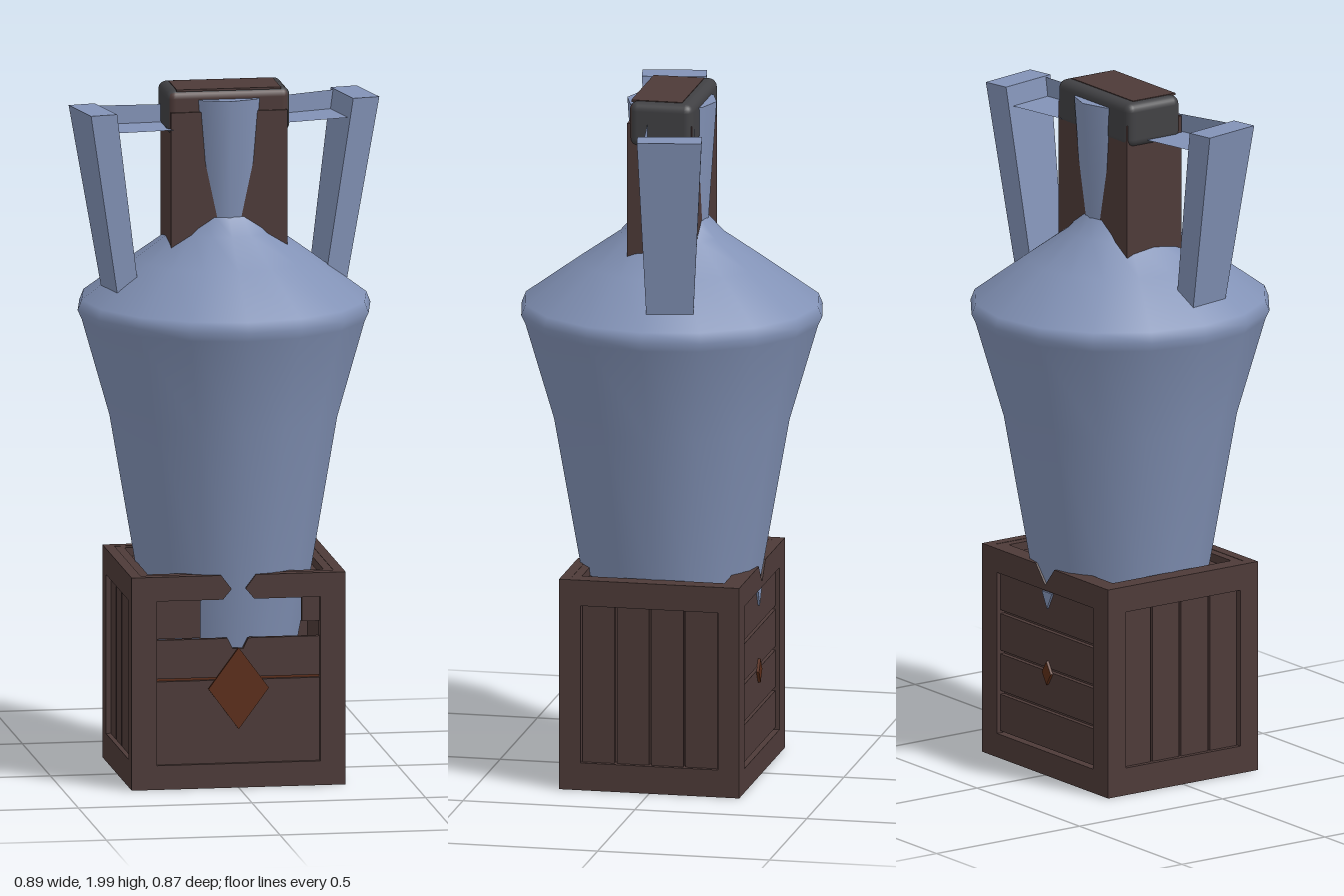
import * as THREE from 'three';
import { RoundedBoxGeometry } from 'three/addons/geometries/RoundedBoxGeometry.js';

const mat = (name, color, side = THREE.FrontSide) => {
  const m = new THREE.MeshStandardMaterial({ color, side });
  m.name = name;
  return m;
};

export function createModel() {
  const clay = mat('blue clay', 0x8292b6);
  const wood = mat('dark wood', 0x4d3a38);
  const iron = mat('dark grey', 0x414144);
  const rust = mat('rust', 0x5c2d18);
  const root = new THREE.Group();

  const add = (parent, name, geo, material, x = 0, y = 0, z = 0) => {
    const m = new THREE.Mesh(geo, material);
    m.name = name;
    m.position.set(x, y, z);
    parent.add(m);
    return m;
  };
  const box = (parent, name, material, w, h, d, x, y, z) =>
    add(parent, name, new THREE.BoxGeometry(w, h, d), material, x, y, z);
  const poly = (pts) => new THREE.Shape(pts.map(([x, y]) => new THREE.Vector2(x, y)));
  const rect = (w, y0, y1) => [[-w, y0], [w, y0], [w, y1], [-w, y1]];
  const extrude = (shape, depth) =>
    new THREE.ExtrudeGeometry(shape, { depth, bevelEnabled: false });

  // Jar: sixteen-sided body, shoulder and flared neck, slightly narrower in x
  const profile = [[0, 0.02], [0.16, 0.02], [0.19, 0.2], [0.225, 0.42], [0.266, 0.625],
    [0.342, 1.05], [0.425, 1.33], [0.437, 1.355], [0.425, 1.385], [0.265, 1.5],
    [0.15, 1.58], [0.105, 1.63]].map(([r, y]) => new THREE.Vector2(r, y));
  const body = add(root, 'jarBody', new THREE.LatheGeometry(profile, 16), clay);
  body.scale.x = 0.965;
  add(root, 'jarNeck', new THREE.CylinderGeometry(0.13, 0.105, 0.36, 10), clay, 0, 1.79, 0);

  // Stopper block through the neck, with a rounded cap
  box(root, 'stopper', wood, 0.335, 0.4, 0.19, 0, 1.735, 0);
  const cap = new RoundedBoxGeometry(0.355, 0.13, 0.186, 3, 0.025);
  add(root, 'cap', cap, [iron, iron, iron, iron, wood, iron], 0, 1.933, -0.004);
  box(root, 'capTopPlate', wood, 0.3, 0.006, 0.148, 0, 1.997, 0.012);

  // Handles: tapered bar and leg, on an axis turned about y
  const handles = new THREE.Group();
  handles.name = 'handles';
  handles.rotation.y = 0.195;
  root.add(handles);
  // Prism between two rectangles, each given as four corners in order
  const prism = (a, b) => {
    const p = [...a, ...b];
    const pos = [];
    const quad = (i, j, k, l) => [i, j, k, i, k, l].forEach((n) => pos.push(...p[n]));
    quad(3, 2, 1, 0);
    quad(4, 5, 6, 7);
    for (let i = 0; i < 4; i++) {
      const j = (i + 1) % 4;
      quad(i, j, j + 4, i + 4);
    }
    const g = new THREE.BufferGeometry();
    g.setAttribute('position', new THREE.Float32BufferAttribute(pos, 3));
    g.computeVertexNormals();
    return g;
  };
  const barEnd = (x, w, y0, y1) => [[x, y0, -w], [x, y1, -w], [x, y1, w], [x, y0, w]].reverse();
  const legEnd = (x0, x1, w, y) => [[x0, y, w], [x1, y, w], [x1, y, -w], [x0, y, -w]];
  for (const side of [0, 1]) {
    const h = new THREE.Group();
    h.name = side ? 'rightHandle' : 'leftHandle';
    h.rotation.y = side * Math.PI;
    handles.add(h);
    add(h, 'handleBar', prism(barEnd(0.1, 0.065, 1.885, 1.935), barEnd(0.37, 0.073, 1.89, 1.945)), clay);
    add(h, 'handleLeg', prism(legEnd(0.28, 0.345, 0.066, 1.405), legEnd(0.358, 0.437, 0.092, 1.948)), clay);
  }

  // Crate
  const crate = new THREE.Group();
  crate.name = 'crate';
  root.add(crate);
  const X = 0.308, Z = 0.262, Y0 = 0.01, Y1 = 0.625, T = 0.03;
  const ring = (outer, inner) => {
    const s = poly(outer);
    s.holes.push(poly(inner));
    return s;
  };

  // Front frame, broken through at the middle of its top rail
  const front = poly([[-X, Y0], [X, Y0], [X, Y1], [0.05, Y1], [0.02, 0.585], [0.045, 0.555],
    [0.235, 0.555], [0.235, 0.08], [-0.235, 0.08], [-0.235, 0.555], [-0.045, 0.555],
    [-0.02, 0.585], [-0.05, Y1], [-X, Y1]]);
  add(crate, 'frontFrame', extrude(front, T), wood, 0, 0, Z - T);

  // Back frame with a chipped top rail
  const back = ring([[-X, Y0], [X, Y0], [X, Y1], [0.045, Y1], [0, 0.57], [-0.045, Y1], [-X, Y1]],
    rect(0.235, 0.08, 0.555));
  add(crate, 'backFrame', extrude(back, T), wood, 0, 0, -Z);

  // Front planks, with an opening above them
  box(crate, 'frontLowerPlank', wood, 0.48, 0.24, 0.016, 0, 0.2, Z - 0.02);
  const notched = poly([[-0.24, 0.328], [0.24, 0.328], [0.24, 0.44], [0.03, 0.44],
    [0.015, 0.41], [-0.015, 0.41], [-0.03, 0.44], [-0.24, 0.44]]);
  add(crate, 'frontUpperPlank', extrude(notched, 0.016), wood, 0, 0, Z - 0.028);
  box(crate, 'frontPlankGap', rust, 0.47, 0.012, 0.006, 0, 0.323, Z - 0.026);
  box(crate, 'brokenPlank', wood, 0.13, 0.115, 0.012, -0.172, 0.5, Z - 0.024);
  box(crate, 'brokenPlank', wood, 0.05, 0.075, 0.012, 0.21, 0.52, Z - 0.024);

  // Diamond plates on front and back
  const diamond = (w, h) => extrude(poly([[0, -h], [w, 0], [0, h], [-w, 0]]), 0.008);
  add(crate, 'frontDiamond', diamond(0.087, 0.118), rust, 0, 0.297, Z - 0.006);
  add(crate, 'backDiamond', diamond(0.022, 0.035), rust, 0, 0.31, -Z + 0.004);
  add(crate, 'backChip', extrude(poly([[-0.025, 0.548], [0, 0.5], [0.025, 0.548]]), 0.006),
    clay, 0, 0, -Z + 0.006);

  // Back planks
  for (let i = 0; i < 4; i++) {
    box(crate, 'backPlank', wood, 0.48, 0.108, 0.014, 0, 0.14 + i * 0.119, -Z + 0.019);
  }
  box(crate, 'backLining', wood, 0.48, 0.48, 0.006, 0, 0.318, -Z + 0.029);

  // Side frames and upright planks
  for (const s of [1, -1]) {
    const frame = ring(rect(Z - 0.001, Y0, Y1), rect(0.2, 0.09, 0.55));
    const side = new THREE.Group();
    side.name = s > 0 ? 'leftSide' : 'rightSide';
    side.rotation.y = s * Math.PI / 2;
    crate.add(side);
    add(side, 'sideFrame', extrude(frame, T), wood, 0, 0, X - T);
    for (let i = 0; i < 4; i++) {
      box(side, 'sidePlank', wood, 0.093, 0.47, 0.014, -0.15 + i * 0.1, 0.32, X - 0.021);
    }
    box(side, 'sideLining', wood, 0.41, 0.47, 0.006, 0, 0.32, X - 0.033);
  }

  // Top rim, sunken lid around the jar, and bottom frame
  const flat = (name, shape, depth, y) => {
    add(crate, name, extrude(shape, depth), wood, 0, y, 0).rotation.x = -Math.PI / 2;
  };
  const rim = (b) => ring([[-X + 0.02, -Z + 0.02], [X - 0.02, -Z + 0.02], [X - 0.02, Z - 0.02], [-X + 0.02, Z - 0.02]],
    [[-X + b, -Z + b], [X - b, -Z + b], [X - b, Z - b], [-X + b, Z - b]]);
  flat('topRim', rim(0.055), 0.03, Y1 - 0.031);
  box(crate, 'lid', wood, 0.55, 0.012, 0.46, 0, 0.594, 0);
  flat('bottomFrame', rim(0.07), 0.03, Y0 + 0.001);
  const floor = poly([[-0.27, -0.23], [0.27, -0.23], [0.27, 0.23], [-0.27, 0.23]]);
  floor.holes.push(new THREE.Path().absarc(0, 0, 0.165, 0, Math.PI * 2, true));
  flat('floor', floor, 0.012, 0.028);
  box(crate, 'floorPlate', wood, 0.2, 0.008, 0.16, 0, 0.018, 0);

  return root;
}
